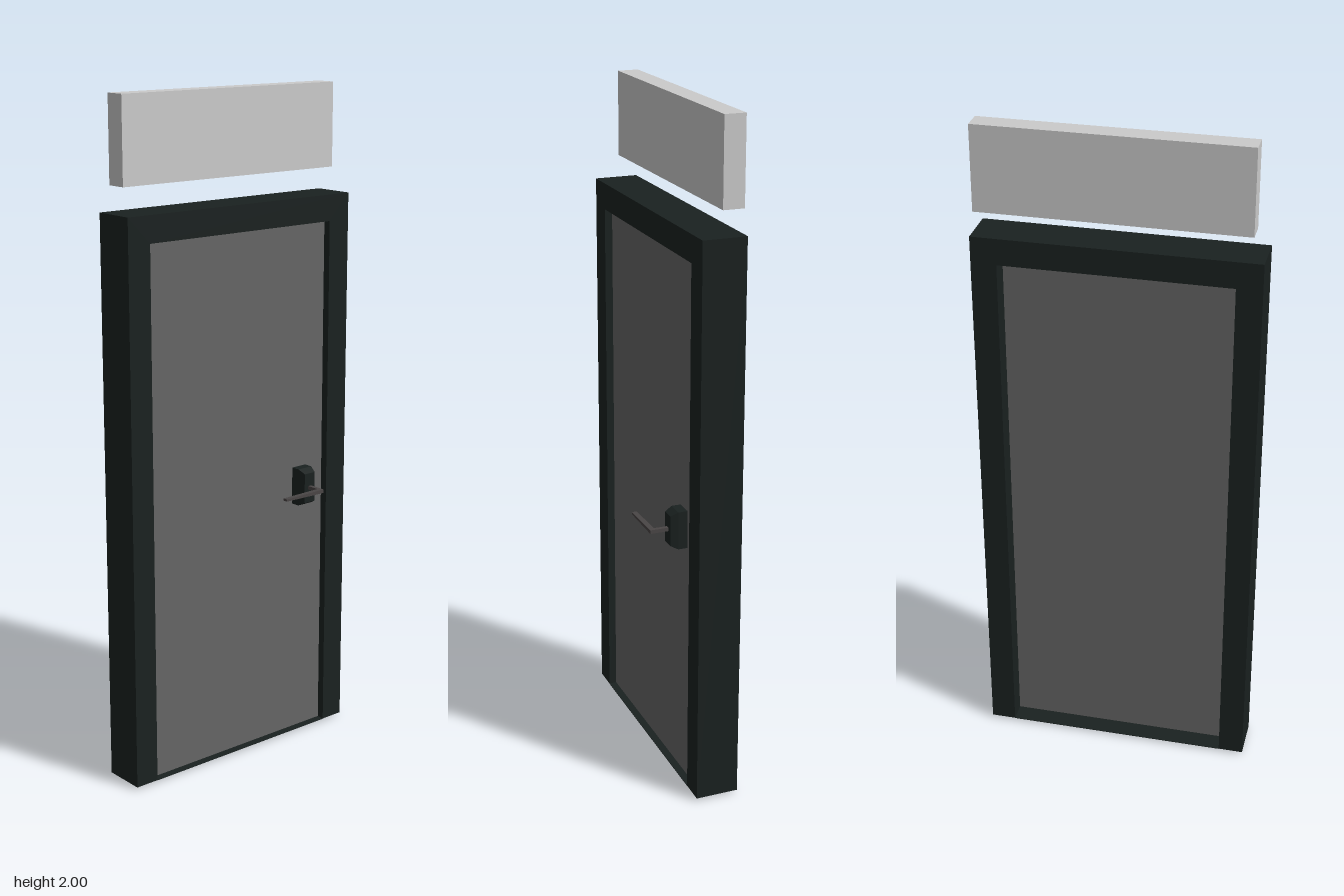
import * as THREE from 'three';

const material = (color) => new THREE.MeshStandardMaterial({ color, flatShading: true });

// Box given by its extents along each axis
function block(name, [x0, x1], [y0, y1], [z0, z1], mat) {
  const geo = new THREE.BoxGeometry(x1 - x0, y1 - y0, z1 - z0);
  geo.translate((x0 + x1) / 2, (y0 + y1) / 2, (z0 + z1) / 2);
  const mesh = new THREE.Mesh(geo, mat);
  mesh.name = name;
  return mesh;
}

// Scale the outer (+x) end of a block about a centre line in y and z
function taperOuter(mesh, xMin, cy, cz, sy, sz) {
  const p = mesh.geometry.attributes.position;
  for (let i = 0; i < p.count; i++) {
    if (p.getX(i) < xMin) continue;
    p.setY(i, cy + (p.getY(i) - cy) * sy);
    p.setZ(i, cz + (p.getZ(i) - cz) * sz);
  }
  mesh.geometry.computeVertexNormals();
  return mesh;
}

export function createModel() {
  const model = new THREE.Group();
  const dark = material(0x1a2120);
  const doorGrey = material(0x666666);
  const metal = material(0x4a4646);
  const grey = material(0xcccccc);

  // Door frame: two jambs and a header in one piece
  const outline = new THREE.Shape([
    [-0.406, 0.008], [-0.332, 0.008], [-0.332, 1.602], [0.332, 1.602],
    [0.332, 0.008], [0.406, 0.008], [0.406, 1.68], [-0.406, 1.68],
  ].map(([x, y]) => new THREE.Vector2(x, y)));
  const frameGeo = new THREE.ExtrudeGeometry(outline, { depth: 0.128, bevelEnabled: false });
  frameGeo.rotateY(Math.PI / 2).translate(-0.105, 0, 0);
  const frame = new THREE.Mesh(frameGeo, dark);
  frame.name = 'doorFrame';
  model.add(frame);

  // Thin threshold plate and the door leaf standing through it
  model.add(block('threshold', [-0.105, 0.023], [0.007, 0.009], [-0.332, 0.332], dark));
  model.add(block('doorLeaf', [-0.047, 0.0], [0, 1.602], [-0.332, 0.332], doorGrey));

  // Sign panel floating above the frame
  model.add(block('signPanel', [-0.1, -0.038], [1.752, 2], [-0.395, 0.375], grey));

  // Handle: backplate with chamfered cap, spindle and lever
  const handle = new THREE.Group();
  handle.name = 'handle';
  handle.add(block('backplate', [0, 0.028], [0.748, 0.862], [-0.265, -0.213], dark));
  handle.add(taperOuter(
    block('backplateCap', [0.028, 0.05], [0.748, 0.862], [-0.265, -0.213], dark),
    0.04, 0.805, -0.239, 0.8, 0.77));
  handle.add(block('spindle', [0.05, 0.105], [0.8, 0.811], [-0.245, -0.233], metal));
  const lever = block('lever', [0.09, 0.105], [0.8, 0.811], [-0.233, -0.098], metal);
  const p = lever.geometry.attributes.position;
  for (let i = 0; i < p.count; i++) {
    if (p.getZ(i) > -0.15) p.setY(i, 0.8055 + (p.getY(i) - 0.8055) * 0.6);
  }
  lever.geometry.computeVertexNormals();
  handle.add(lever);
  model.add(handle);

  return model;
}
